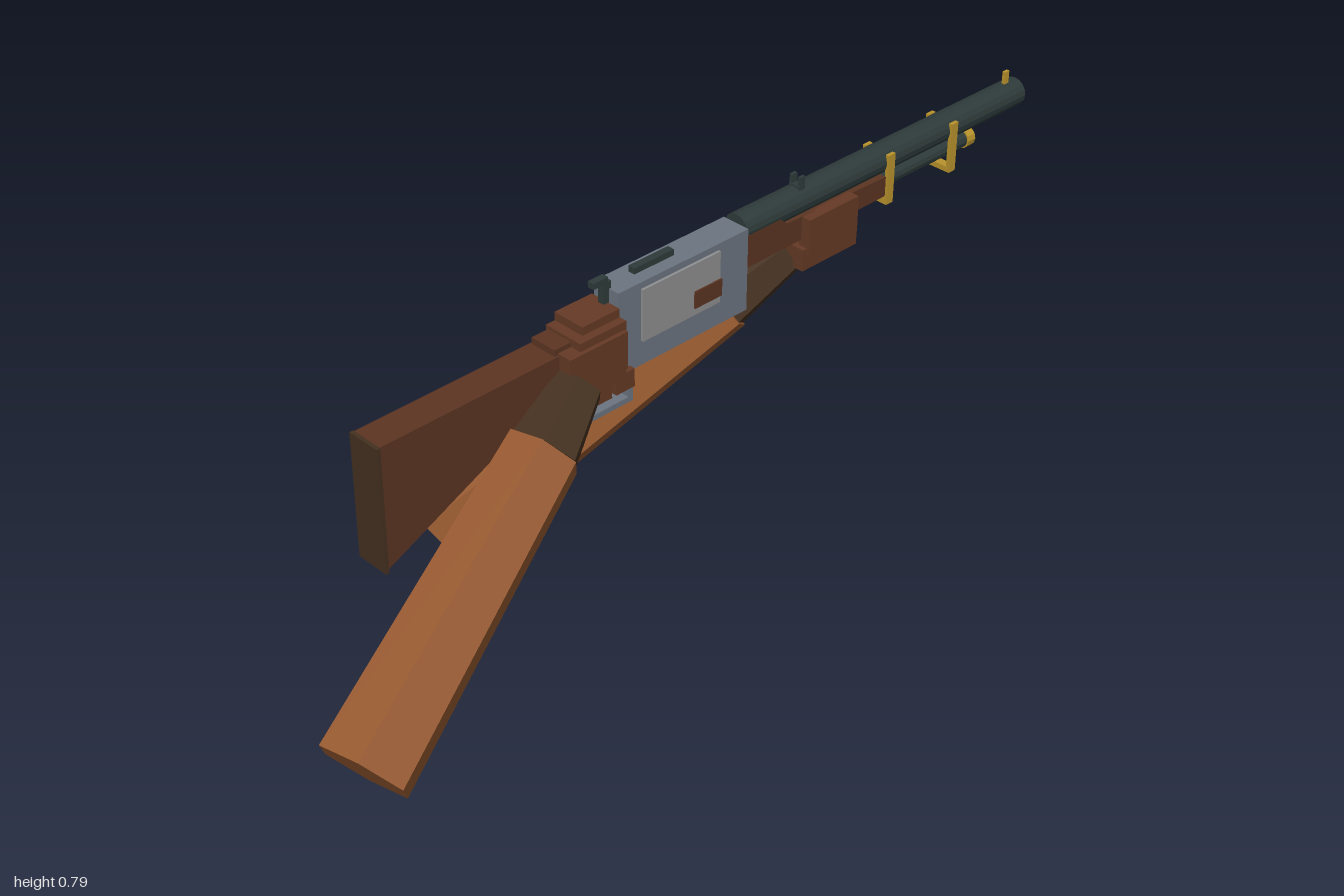
import * as THREE from 'three';

const mat = (name, color) => {
  const m = new THREE.MeshStandardMaterial({ color, flatShading: true });
  m.name = name;
  return m;
};

export function createModel() {
  const root = new THREE.Group();
  root.name = 'rifleWithArms';
  const CX = 0.079; // centre line of the rifle

  const wood = mat('walnut wood', 0x5c3522);
  const skin = mat('glove brown', 0x653a25);
  const leather = mat('sleeve leather', 0x96592f);
  const dark = mat('dark cuff brown', 0x44301f);
  const gunmetal = mat('blued barrel steel', 0x2e3b3a);
  const steel = mat('receiver steel', 0x6c7480);
  const plate = mat('light side plate', 0x8e8f90);
  const brass = mat('brass', 0xb8922c);

  const add = (parent, name, geo, material) => {
    const mesh = new THREE.Mesh(geo, material);
    mesh.name = name;
    parent.add(mesh);
    return mesh;
  };
  const group = (name) => {
    const g = new THREE.Group();
    g.name = name;
    root.add(g);
    return g;
  };
  // Box given by its limits on each axis
  const box = (parent, name, material, x0, x1, y0, y1, z0, z1) => {
    const geo = new THREE.BoxGeometry(x1 - x0, y1 - y0, z1 - z0);
    geo.translate((x0 + x1) / 2, (y0 + y1) / 2, (z0 + z1) / 2);
    return add(parent, name, geo, material);
  };
  // Cylinder lying along z
  const rod = (parent, name, material, r, y, z0, z1, sides = 16) => {
    const geo = new THREE.CylinderGeometry(r, r, z1 - z0, sides);
    geo.rotateX(Math.PI / 2).translate(CX, y, (z0 + z1) / 2);
    return add(parent, name, geo, material);
  };
  // Side profile of [z, y] points, extruded across x
  const profile = (parent, name, material, pts, width) => {
    const shape = new THREE.Shape(pts.map(([z, y]) => new THREE.Vector2(z, y)));
    const geo = new THREE.ExtrudeGeometry(shape, { depth: width, bevelEnabled: false });
    geo.rotateY(-Math.PI / 2).translate(CX + width / 2, 0, 0);
    return add(parent, name, geo, material);
  };

  // Stock with butt plate
  const stock = group('stock');
  profile(stock, 'stockBody', wood,
    [[0.3, 0.59], [0.42, 0.565], [0.747, 0.413], [0.747, 0.676], [0.42, 0.676], [0.3, 0.676]], 0.07);
  box(stock, 'buttPlate', dark, 0.042, 0.117, 0.408, 0.677, 0.747, 0.755);
  box(stock, 'stockGrip', wood, 0.048, 0.11, 0.58, 0.69, 0.18, 0.34);

  // Receiver, side plates, loading port and top rail
  const receiver = group('receiver');
  box(receiver, 'receiverBody', steel, 0.046, 0.112, 0.563, 0.744, -0.158, 0.183);
  for (const x of [0.0435, 0.1145])
    box(receiver, 'sidePlate', plate, x - 0.003, x + 0.003, 0.617, 0.73, -0.078, 0.126);
  box(receiver, 'loadingPort', wood, 0.114, 0.121, 0.633, 0.67, -0.08, -0.008);
  box(receiver, 'topRail', gunmetal, 0.067, 0.083, 0.742, 0.757, 0.013, 0.115);
  box(receiver, 'sidePin', brass, 0.037, 0.046, 0.66, 0.675, 0.095, 0.17);
  box(receiver, 'hammer', gunmetal, 0.072, 0.087, 0.7, 0.76, 0.178, 0.197);
  box(receiver, 'hammerSpur', gunmetal, 0.072, 0.087, 0.757, 0.77, 0.185, 0.222);

  // Lever loop
  const lever = group('leverLoop');
  box(lever, 'leverBottom', steel, 0.064, 0.094, 0.477, 0.489, 0.13, 0.335);
  box(lever, 'leverFront', steel, 0.064, 0.094, 0.485, 0.567, 0.13, 0.142);
  box(lever, 'leverRear', steel, 0.064, 0.094, 0.485, 0.6, 0.323, 0.335);
  box(lever, 'trigger', gunmetal, 0.074, 0.084, 0.525, 0.57, 0.185, 0.197);

  // Barrel, magazine tube and fore-end
  const barrel = group('barrelAssembly');
  rod(barrel, 'barrel', gunmetal, 0.031, 0.732, -1, -0.158);
  rod(barrel, 'magazineTube', gunmetal, 0.019, 0.68, -0.83, -0.5, 12);
  rod(barrel, 'magazineCap', brass, 0.022, 0.68, -0.853, -0.83, 12);
  profile(barrel, 'foreEnd', wood,
    [[-0.158, 0.655], [-0.158, 0.728], [-0.25, 0.728], [-0.27, 0.71], [-0.56, 0.703], [-0.56, 0.659]], 0.06);

  // Brass bands: two cheeks and a base
  for (const z of [-0.57, -0.765]) {
    for (const s of [-1, 1])
      box(barrel, 'bandCheek', brass, CX + s * 0.031 - 0.004, CX + s * 0.031 + 0.004, 0.64, 0.752, z - 0.01, z + 0.01);
    box(barrel, 'bandBase', brass, CX - 0.035, CX + 0.035, 0.64, 0.652, z - 0.01, z + 0.01);
  }

  // Sights
  const sights = group('sights');
  box(sights, 'frontSight', brass, 0.077, 0.084, 0.755, 0.79, -0.972, -0.958);
  box(sights, 'rearSightBase', gunmetal, 0.067, 0.095, 0.755, 0.767, -0.333, -0.317);
  for (const x of [0.067, 0.088])
    box(sights, 'rearSightPost', gunmetal, x, x + 0.007, 0.762, 0.786, -0.333, -0.319);

  // Rear hand around the grip
  const rearHand = group('rearHand');
  box(rearHand, 'palm', skin, 0.042, 0.135, 0.57, 0.697, 0.185, 0.3);
  box(rearHand, 'handBack', skin, 0.1, 0.144, 0.6, 0.68, 0.19, 0.332);
  box(rearHand, 'thumb', skin, 0.042, 0.117, 0.69, 0.715, 0.185, 0.278);
  box(rearHand, 'finger', skin, 0.05, 0.125, 0.535, 0.575, 0.213, 0.26);
  box(rearHand, 'finger', skin, 0.05, 0.125, 0.535, 0.575, 0.155, 0.202);

  // Front hand under the fore-end
  const frontHand = group('frontHand');
  box(frontHand, 'palm', skin, 0.035, 0.125, 0.595, 0.643, -0.46, -0.302);
  box(frontHand, 'fingers', skin, 0.104, 0.13, 0.627, 0.708, -0.455, -0.313);
  box(frontHand, 'thumb', skin, 0.028, 0.052, 0.627, 0.685, -0.44, -0.33);

  // Hexagonal limb section from a to b, turned about its axis
  const hex = (parent, name, material, a, b, ra, rb, turn) => {
    const d = b.clone().sub(a);
    const len = d.length();
    d.normalize();
    const u = new THREE.Vector3(d.z, 0, -d.x).normalize();
    const v = d.clone().cross(u);
    const geo = new THREE.CylinderGeometry(rb, ra, len, 6, 1, false, turn);
    geo.applyMatrix4(new THREE.Matrix4().makeBasis(v, d, u));
    const mid = a.clone().lerp(b, 0.5);
    geo.translate(mid.x, mid.y, mid.z);
    add(parent, name, geo, material);
  };
  const arm = (name, wrist, cuff, end, turnDeg) => {
    const g = group(name);
    const [w, c, e] = [wrist, cuff, end].map((p) => new THREE.Vector3(...p));
    const t = THREE.MathUtils.degToRad(turnDeg);
    hex(g, 'cuff', dark, w, c, 0.05, 0.072, t);
    hex(g, 'sleeve', leather, c, e, 0.077, 0.096, t);
  };
  arm('rearArm', [0.135, 0.612, 0.305], [0.165, 0.535, 0.42], [0.281, 0.176, 0.954], 9);
  arm('frontArm', [0.06, 0.61, -0.325], [0, 0.52, -0.205], [-0.288, 0.077, 0.32], -18);

  return root;
}
